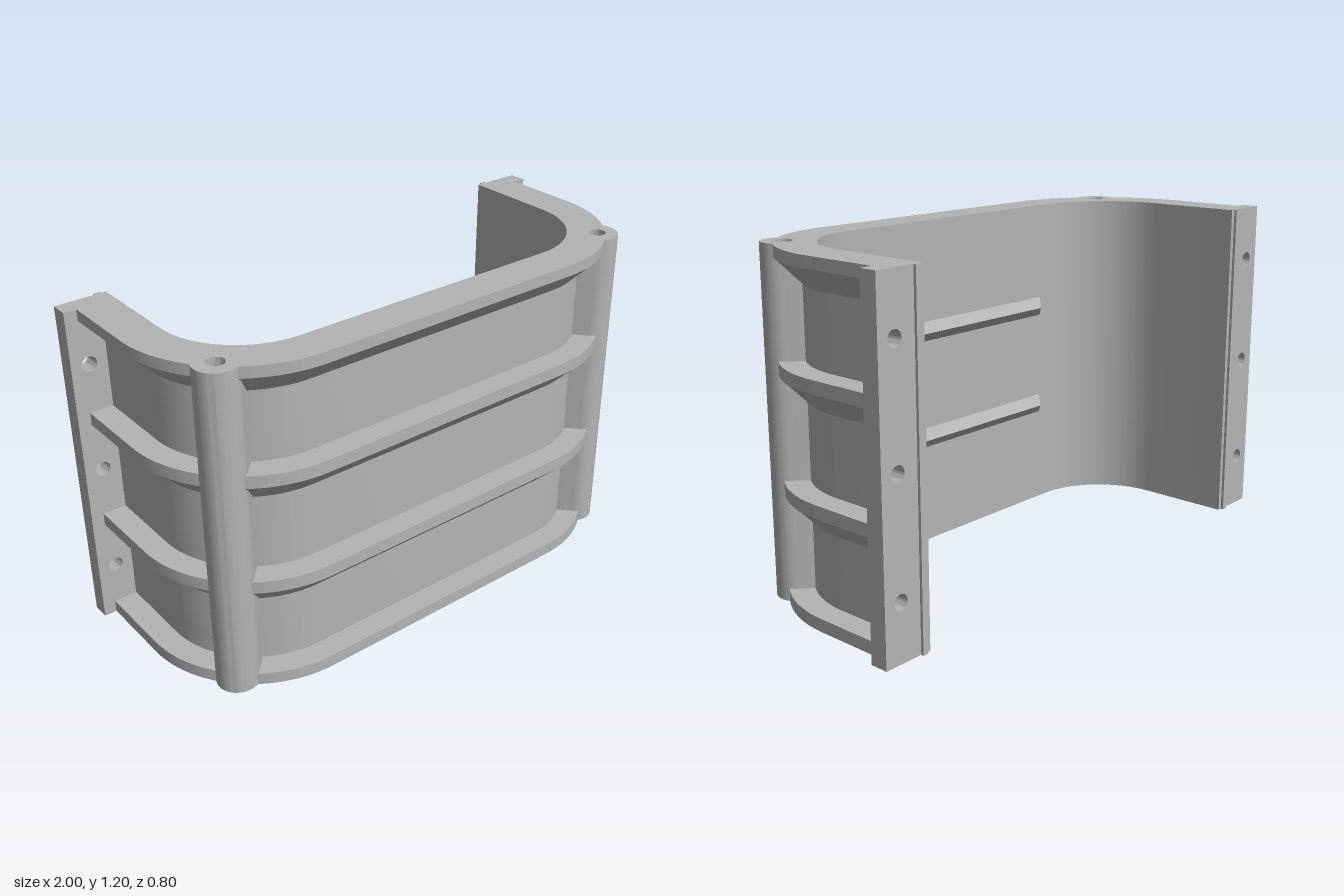
import * as THREE from 'three';
import { toCreasedNormals } from 'three/addons/utils/BufferGeometryUtils.js';

const H = 1.2;                    // height
const CX = 0.515, CZ = -0.04;     // centre of each rounded corner
const R_IN = 0.302, R_WALL = 0.355, R_RIB = 0.44;
const Z_END = -0.33;              // where the side walls run into the flanges
const R_BOSS = 0.41;              // distance of boss axis from corner centre

const rad = THREE.MathUtils.degToRad;
const station = (x, z, a) => ({ x, z, nx: Math.cos(a), nz: Math.sin(a) });

// Stations around a corner, from angle a to b in degrees (0 = +x, 90 = +z)
function corner(cx, a, b) {
  const n = Math.ceil(Math.abs(b - a) / 4);
  return Array.from({ length: n + 1 }, (_, i) => station(cx, CZ, rad(a + ((b - a) * i) / n)));
}

// Sweep a convex, counter-clockwise profile of [offset, y] along the stations
function sweep(stations, profile) {
  const rings = stations.map(s => profile.map(([r, y]) => [s.x + s.nx * r, y, s.z + s.nz * r]));
  const pos = [];
  const tri = (a, b, c) => pos.push(...a, ...b, ...c);
  const n = profile.length;
  for (let i = 0; i < rings.length - 1; i++) {
    for (let j = 0; j < n; j++) {
      const k = (j + 1) % n, p = rings[i], q = rings[i + 1];
      tri(p[j], p[k], q[k]);
      tri(p[j], q[k], q[j]);
    }
  }
  const first = rings[0], last = rings[rings.length - 1];
  for (let j = 1; j < n - 1; j++) {
    tri(first[0], first[j + 1], first[j]);
    tri(last[0], last[j], last[j + 1]);
  }
  const g = new THREE.BufferGeometry();
  g.setAttribute('position', new THREE.Float32BufferAttribute(pos, 3));
  return toCreasedNormals(g, 0.5);
}

function extrude(shape, depth) {
  const g = new THREE.ExtrudeGeometry(shape, { depth, bevelEnabled: false, curveSegments: 24 });
  return toCreasedNormals(g, 0.5);
}

function circleHole(x, y, r) {
  const p = new THREE.Path();
  p.absarc(x, y, r, 0, Math.PI * 2, true);
  return p;
}

// Ridge with a V section and mitred ends, its base on the plane z = 0, facing -z
function ridgeGeometry(halfLength, halfHeight, depth, taper) {
  const L = halfLength, T = halfLength - taper;
  const a = [-L, -halfHeight, 0], b = [L, -halfHeight, 0], c = [L, halfHeight, 0], d = [-L, halfHeight, 0];
  const e = [-T, 0, -depth], f = [T, 0, -depth];
  const faces = [[d, c, f], [d, f, e], [b, a, e], [b, e, f], [a, d, e], [c, b, f]];
  const g = new THREE.BufferGeometry();
  g.setAttribute('position', new THREE.Float32BufferAttribute(faces.flat(2), 3));
  g.computeVertexNormals();
  return g;
}

export function createModel() {
  const model = new THREE.Group();
  model.name = 'curvedFormPanel';
  const grey = new THREE.MeshStandardMaterial({ color: 0xb4b4b4 });
  grey.name = 'grey';
  const add = (name, geometry, x = 0, y = 0, z = 0) => {
    const m = new THREE.Mesh(geometry, grey);
    m.name = name;
    m.position.set(x, y, z);
    model.add(m);
    return m;
  };

  // U-shaped wall
  const rightEnd = station(CX, Z_END, 0), leftEnd = station(-CX, Z_END, Math.PI);
  add('wall', sweep(
    [rightEnd, ...corner(CX, 0, 90), ...corner(-CX, 90, 180), leftEnd],
    [[R_IN, 0], [R_WALL, 0], [R_WALL, H], [R_IN, H]]));

  // Ribs, interrupted inside the bosses so the pin holes stay clear
  const gap = 6.5;
  const runs = {
    leftRib: [rightEnd, ...corner(CX, 0, 45 - gap)],
    frontRib: [...corner(CX, 45 + gap, 90), ...corner(-CX, 90, 135 - gap)],
    rightRib: [...corner(-CX, 135 + gap, 180), leftEnd],
  };
  const root = 0.33;
  for (const [bottom, top] of [[0, 0.045], [0.38, 0.425], [0.78, 0.825], [1.16, H]]) {
    // The raised ribs have a 45 degree gusset below
    const drop = bottom > 0 ? R_RIB - root : 0;
    const profile = [[root, bottom - drop], [R_RIB, bottom], [R_RIB, top], [root, top]];
    for (const [name, path] of Object.entries(runs)) add(name, sweep(path, profile));
  }

  // Vertical pin bosses at the corners
  const boss = new THREE.Shape();
  boss.moveTo(root, -0.072);
  boss.lineTo(R_BOSS, -0.075);
  boss.absarc(R_BOSS, 0, 0.075, -Math.PI / 2, Math.PI / 2, false);
  boss.lineTo(root, 0.072);
  boss.closePath();
  boss.holes.push(circleHole(R_BOSS, 0, 0.03));
  const bossGeometry = extrude(boss, H).rotateX(-Math.PI / 2);

  for (const s of [1, -1]) {
    const side = s > 0 ? 'left' : 'right';
    add(side + 'PinBoss', bossGeometry, s * CX, 0, CZ).rotation.y = rad(s > 0 ? -45 : -135);

    // End flange with bolt holes
    const x0 = Math.min(s * 0.817, s), x1 = Math.max(s * 0.817, s);
    const flange = new THREE.Shape();
    flange.moveTo(x0, 0);
    flange.lineTo(x1, 0);
    flange.lineTo(x1, H);
    flange.lineTo(x0, H);
    flange.closePath();
    for (const y of [0.2, 0.6, 1.0]) flange.holes.push(circleHole(s * 0.935, y, 0.027));
    add(side + 'Flange', extrude(flange, 0.065), 0, 0, -0.39);

    // Locating bead on the back of the flange
    add(side + 'Bead', new THREE.BoxGeometry(0.022, H, 0.015), s * 0.845, H / 2, -0.3925);
  }

  // Ridges on the inner face
  const ridge = ridgeGeometry(0.47, 0.038, 0.035, 0.033);
  for (const y of [0.4, 0.8]) add('innerRidge', ridge, 0, y, CZ + R_IN + 0.002);

  return model;
}
